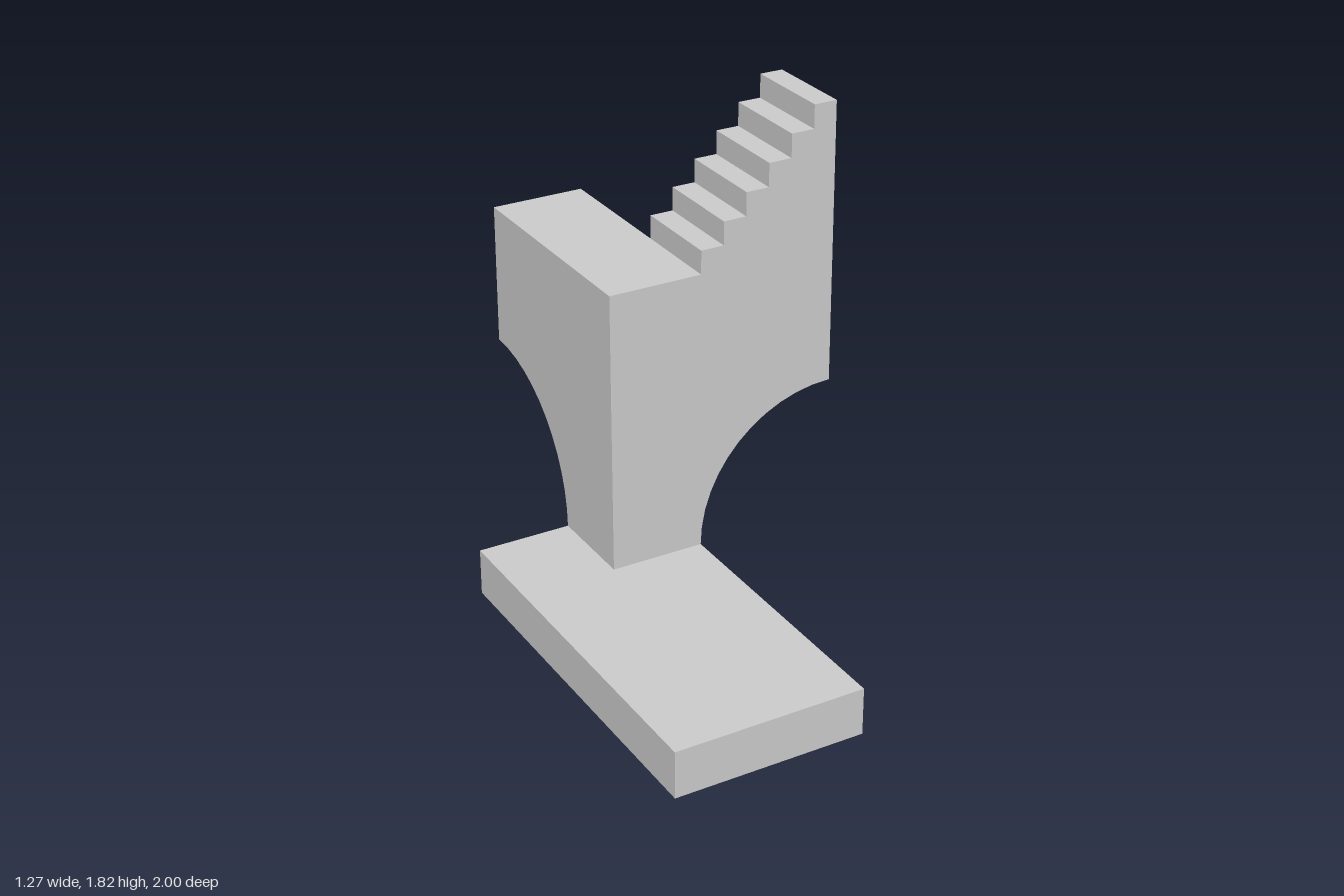
import * as THREE from 'three';

const U = 1 / 11; // grid module: every dimension is a whole number of these

export function createModel() {
  const model = new THREE.Group();
  const material = new THREE.MeshStandardMaterial({ color: 0xcccccc, flatShading: true });

  const add = (name, geometry) => {
    geometry.scale(U, U, U);
    const mesh = new THREE.Mesh(geometry, material);
    mesh.name = name;
    model.add(mesh);
  };
  // Slab of the 4-unit wall thickness; 6 curve segments give 12 facets per arch
  const extrude = (shape) =>
    new THREE.ExtrudeGeometry(shape, { depth: 4, bevelEnabled: false, curveSegments: 6 });

  // Base slab
  add('base', new THREE.BoxGeometry(8, 2, 16).translate(-3, 1, 3));

  // Pillar and stair wing in one profile: quarter arch below, steps above
  const stair = new THREE.Shape();
  stair.moveTo(-3, 2);
  stair.lineTo(1, 2);
  stair.absarc(7, 2, 6, Math.PI, Math.PI / 2, true);
  for (let i = 6; i >= 1; i--) {
    stair.lineTo(i + 1, 14 + i);
    stair.lineTo(i, 14 + i);
  }
  stair.lineTo(1, 14);
  stair.lineTo(-3, 14);
  stair.closePath();
  add('pillarWithStairs', extrude(stair).translate(0, 0, -5));

  // Rear wing: flat top over a matching quarter arch, reaching back from the pillar
  const wing = new THREE.Shape();
  wing.moveTo(0, 2);
  wing.absarc(6, 2, 6, Math.PI, Math.PI / 2, true);
  wing.lineTo(6, 14);
  wing.lineTo(0, 14);
  wing.closePath();
  add('rearWing', extrude(wing).rotateY(Math.PI / 2).translate(-3, 0, -5));

  return model;
}
